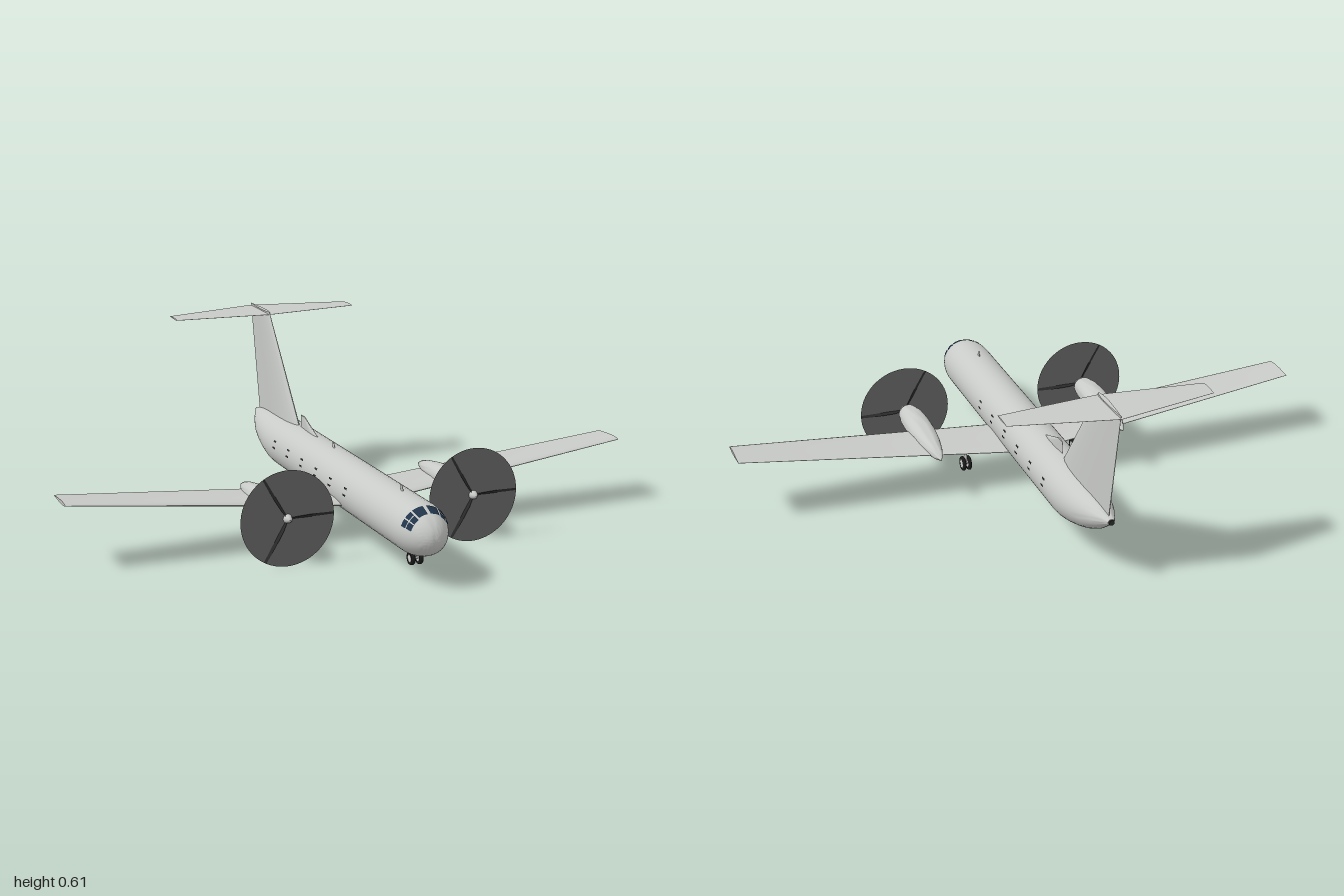
import * as THREE from 'three';
import { toCreasedNormals } from 'three/addons/utils/BufferGeometryUtils.js';
import { ParametricGeometry } from 'three/addons/geometries/ParametricGeometry.js';

const mat = (name, color, side = THREE.FrontSide) => {
  const m = new THREE.MeshStandardMaterial({ color, side });
  m.name = name;
  return m;
};

// Skin a list of closed rings (arrays of [x, y, z]) and cap both ends
function loft(rings, crease = 0.7) {
  const n = rings[0].length, pos = rings.flat(2), idx = [];
  for (let i = 0; i < rings.length - 1; i++)
    for (let j = 0; j < n; j++) {
      const a = i * n + j, b = i * n + (j + 1) % n;
      idx.push(a, b, b + n, a, b + n, a + n);
    }
  const last = (rings.length - 1) * n;
  for (let j = 1; j < n - 1; j++) idx.push(0, j + 1, j, last, last + j, last + j + 1);
  // turn the faces outward if the rings run the other way
  const v = i => new THREE.Vector3().fromArray(pos, i * 3);
  let volume = 0;
  for (let i = 0; i < idx.length; i += 3) volume += v(idx[i]).dot(v(idx[i + 1]).cross(v(idx[i + 2])));
  if (volume < 0) idx.reverse();
  const g = new THREE.BufferGeometry();
  g.setAttribute('position', new THREE.Float32BufferAttribute(pos, 3));
  g.setIndex(idx);
  return toCreasedNormals(g, crease);
}

// Aerofoil outline: [chord fraction from the leading edge, half thickness]
const half = [[0.02, 0.3], [0.08, 0.65], [0.2, 0.92], [0.35, 1], [0.55, 0.82], [0.8, 0.42], [1, 0.06]];
const foil = [[0, 0], ...half, ...half.map(([c, h]) => [c, -h]).reverse()];

// Fuselage cross-section: centre height and radii along z
const R = 0.0865, NOSE = 0.65, NOSE_LEN = 0.14;
const tail = [[-0.4, 0.17, R, R], [-0.45, 0.171, 0.084, 0.085], [-0.5, 0.176, 0.079, 0.078],
  [-0.55, 0.182, 0.071, 0.069], [-0.6, 0.19, 0.06, 0.058], [-0.65, 0.2, 0.044, 0.042],
  [-0.7, 0.213, 0.023, 0.02], [-0.725, 0.218, 0.011, 0.01]];
function section(z) {
  if (z >= NOSE) {
    const t = Math.min(1, (z - NOSE) / NOSE_LEN), r = R * Math.sqrt(Math.max(0, 1 - t * t));
    return [0.17 - 0.007 * t * t, r, r];
  }
  if (z >= tail[0][0]) return [0.17, R, R];
  const i = Math.max(1, tail.findIndex(s => s[0] <= z + 1e-6));
  const a = tail[i - 1], b = tail[i], t = (z - a[0]) / (b[0] - a[0]);
  return [1, 2, 3].map(k => a[k] + (b[k] - a[k]) * t);
}
function onBody(z, angle, lift = 0) {
  const [cy, rx, ry] = section(z);
  return [(rx + lift) * Math.cos(angle), cy + (ry + lift) * Math.sin(angle), z];
}

export function createModel() {
  const model = new THREE.Group();
  const paint = mat('light grey paint', 0xc8cac7);
  const discGrey = mat('propeller disc grey', 0x686868, THREE.DoubleSide);
  const dark = mat('dark metal', 0x2e2e2e);
  const rubber = mat('tyre rubber', 0x1c1c1c);
  const glass = mat('dark blue glass', 0x22354a, THREE.DoubleSide);
  const cabin = mat('cabin window black', 0x2a2a2c, THREE.DoubleSide);
  const hubGrey = mat('hub grey', 0xd2d2d0);

  const add = (name, geo, material, x = 0, y = 0, z = 0, parent = model) => {
    const m = new THREE.Mesh(geo, material);
    m.name = name;
    m.position.set(x, y, z);
    parent.add(m);
    return m;
  };

  // Fuselage
  const stations = [];
  for (let i = 16; i >= 0; i--) stations.push(NOSE + NOSE_LEN * Math.sin(i / 16 * Math.PI / 2));
  stations.push(0.3, 0, ...tail.map(s => s[0]));
  add('fuselage', loft(stations.map(z =>
    Array.from({ length: 40 }, (_, j) => onBody(z, j / 40 * Math.PI * 2))), 1), paint);

  // Thin plates that follow the fuselage skin; angles in degrees above the side
  const plate = (name, z0, z1, a0, a1, material) => {
    for (const side of [1, -1])
      add(name, new ParametricGeometry((u, v, p) => {
        const q = onBody(z0 + (z1 - z0) * u, THREE.MathUtils.degToRad(a0 + (a1 - a0) * v), 0.002);
        p.set(q[0] * side, q[1], q[2]);
      }, 4, 5), material);
  };
  for (const [a0, a1] of [[19, 36], [39, 56]]) {
    plate('cockpitSideWindow', 0.7, 0.719, a0, a1, glass);
    plate('cockpitSideWindow', 0.722, 0.742, a0, a1, glass);
  }
  plate('windshield', 0.7, 0.738, 60, 86, glass);
  for (let i = 0; i < 6; i++) {
    const z = 0.28 - i * 0.125;
    plate('cabinWindowTop', z - 0.011, z + 0.011, 18, 22, cabin);
    plate('cabinWindowBottom', z - 0.011, z + 0.011, 3, 7, cabin);
  }

  // Wing and stabiliser span sections: [x, y, leading z, chord, half thickness]
  const spanRing = ([x, y, z, chord, t]) => foil.map(([c, h]) => [x, y + h * t, z - c * chord]);
  const mirrored = (root, tip) =>
    loft([[-tip[0], ...tip.slice(1)], root, tip].map(spanRing), 0.6);
  add('wing', mirrored([0, 0.122, 0.235, 0.235, 0.016], [1, 0.226, 0.188, 0.132, 0.006]), paint);
  add('stabiliser', mirrored([0, 0.602, -0.6, 0.19, 0.005], [0.34, 0.602, -0.635, 0.08, 0.003]), paint);

  // Fin sections: [y, leading z, chord, half thickness]
  const fin = (name, rows) => add(name, loft(rows.map(([y, z, chord, t]) =>
    foil.map(([c, h]) => [h * t, y, z - c * chord])), 0.6), paint);
  fin('fin', [[0.225, -0.3, 0.405, 0.02], [0.611, -0.603, 0.183, 0.008]]);
  fin('dorsalFin', [[0.25, -0.135, 0.166, 0.006], [0.3, -0.268, 0.037, 0.003]]);

  // Blade antennas
  fin('frontAntenna', [[0.25, 0.552, 0.022, 0.003], [0.274, 0.54, 0.012, 0.002]]);
  fin('rearAntenna', [[0.25, 0.002, 0.022, 0.003], [0.274, -0.008, 0.012, 0.002]]);
  fin('bellyAntenna', [[0.09, 0.295, 0.022, 0.003], [0.07, 0.284, 0.012, 0.002]]);

  // Tail exhaust
  const exhaust = add('tailExhaust', new THREE.CylinderGeometry(0.009, 0.009, 0.012, 16), dark, 0, 0.218, -0.725);
  exhaust.rotation.x = Math.PI / 2;

  // Engine nacelle rows: [z, centre y, x radius, y radius]
  const pod = [[0.376, 0.162, 0.016, 0.018], [0.366, 0.163, 0.025, 0.026], [0.345, 0.166, 0.034, 0.034],
    [0.3, 0.17, 0.042, 0.038], [0.24, 0.17, 0.045, 0.038], [0.17, 0.168, 0.044, 0.036],
    [0.1, 0.166, 0.037, 0.031], [0.04, 0.164, 0.026, 0.023], [0, 0.162, 0.015, 0.014], [-0.03, 0.16, 0.002, 0.002]];
  const podGeo = loft(pod.map(([z, cy, rx, ry]) => Array.from({ length: 28 }, (_, j) => {
    const a = j / 28 * Math.PI * 2;
    return [rx * Math.cos(a), cy + ry * Math.sin(a), z];
  })), 1);

  // Twisted tapering blade along +x: [radius, half chord, pitch]
  const bladeGeo = loft([[0.008, 0.005, 1], [0.04, 0.009, 0.8], [0.1, 0.009, 0.55], [0.158, 0.006, 0.4]]
    .map(([r, w, p]) => [[1, 0], [0, 1], [-1, 0], [0, -1]].map(([c, t]) => {
      const y = c * w, z = t * 0.0018;
      return [r, y * Math.cos(p) - z * Math.sin(p), y * Math.sin(p) + z * Math.cos(p)];
    })));
  const spinnerGeo = new THREE.LatheGeometry([[0.016, 0], [0.0155, 0.012], [0.012, 0.024], [0.006, 0.033], [0, 0.036]]
    .map(p => new THREE.Vector2(...p)), 24);

  for (const side of [1, -1]) {
    const engine = new THREE.Group();
    engine.name = side > 0 ? 'leftEngine' : 'rightEngine';
    engine.position.x = side * 0.33;
    model.add(engine);
    add('nacelle', podGeo, paint, 0, 0, 0, engine);
    add('spinner', spinnerGeo, paint, 0, 0.16, 0.375, engine).rotation.x = Math.PI / 2;
    add('propellerDisc', new THREE.CircleGeometry(0.16, 64), discGrey, 0, 0.16, 0.388, engine);
    for (let i = 0; i < 3; i++)
      add('propellerBlade', bladeGeo, dark, 0, 0.16, 0.388, engine).rotation.z = i * Math.PI * 2 / 3;
  }

  // Twin-wheel landing gear
  const gear = (name, x, y, z, r, spread, width, top) => {
    const g = new THREE.Group();
    g.name = name;
    g.position.set(x, y, z);
    model.add(g);
    add('strut', new THREE.CylinderGeometry(0.005, 0.005, top - y, 12), hubGrey, 0, (top - y) / 2, 0, g);
    const axle = add('axle', new THREE.CylinderGeometry(0.004, 0.004, spread * 2, 10), hubGrey, 0, 0, 0, g);
    axle.rotation.z = Math.PI / 2;
    const w = width / 2, k = r * 0.6;
    const tyre = new THREE.LatheGeometry([[k, -w], [r * 0.9, -w], [r, -w * 0.5], [r, w * 0.5], [r * 0.9, w], [k, w], [k, -w]]
      .map(p => new THREE.Vector2(...p)), 28);
    for (const s of [1, -1]) {
      add('tyre', tyre, rubber, s * spread, 0, 0, g).rotation.z = Math.PI / 2;
      add('hub', new THREE.CylinderGeometry(k, k, width * 0.9, 20), hubGrey, s * spread, 0, 0, g).rotation.z = Math.PI / 2;
    }
  };
  gear('noseGear', 0, 0.064, 0.64, 0.022, 0.014, 0.013, 0.1);
  gear('leftMainGear', 0.203, 0.068, 0.095, 0.025, 0.01, 0.011, 0.14);
  gear('rightMainGear', -0.203, 0.068, 0.095, 0.025, 0.01, 0.011, 0.14);

  return model;
}
